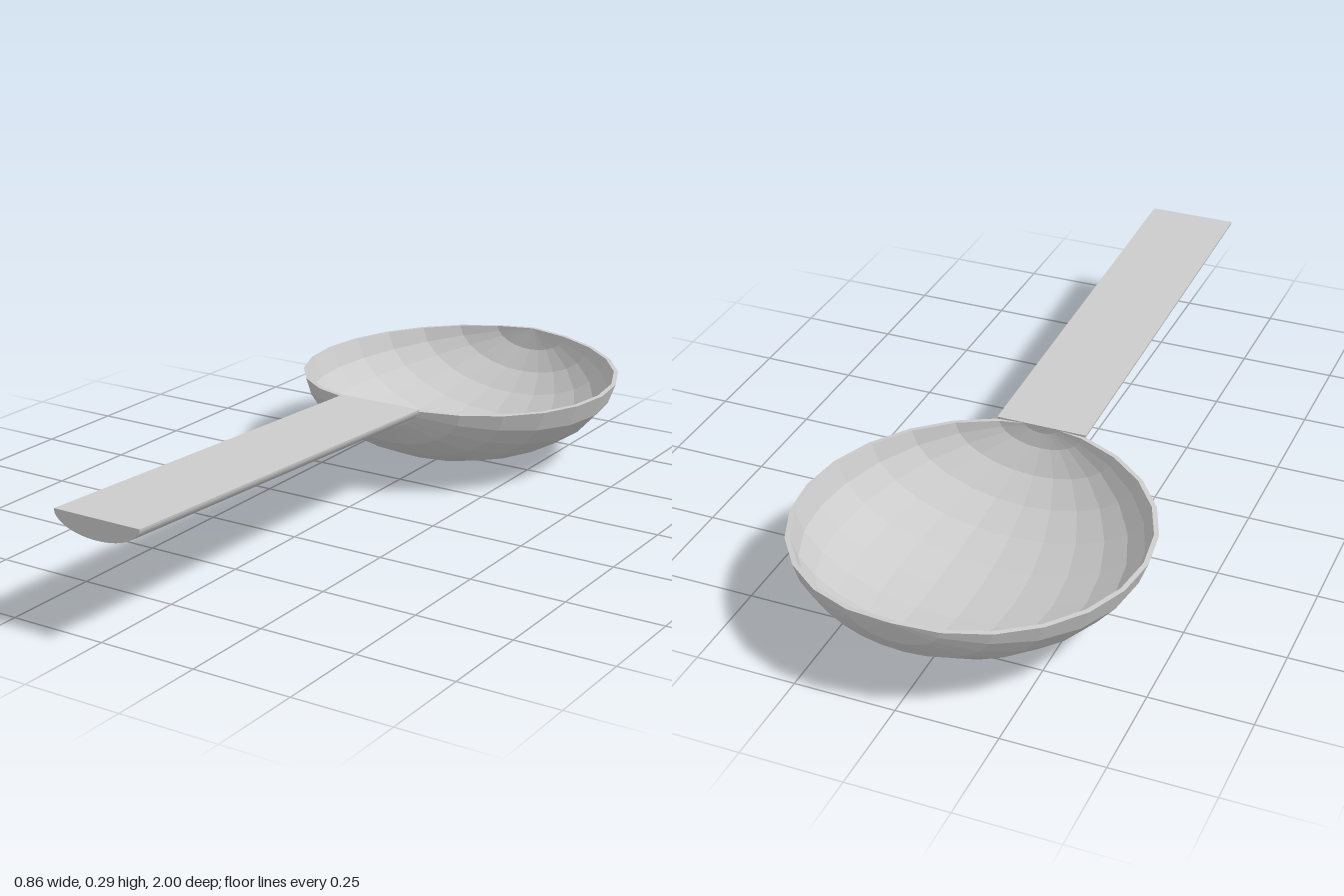
import * as THREE from 'three';

const material = new THREE.MeshStandardMaterial({ color: 0xcccccc, flatShading: true });

// Hollow half ellipsoid with its poles along z: a closed wall section swept from pole to pole.
function bowlGeometry(radius, depth, wall) {
  const arcs = 12, rings = 12, lip = THREE.MathUtils.degToRad(5);
  const section = [];
  for (let j = 0; j <= arcs; j++) section.push([lip + (Math.PI - 2 * lip) * j / arcs, 0]);
  for (let j = arcs; j >= 0; j--) section.push([section[j][0], wall]);

  const positions = [], index = [], n = section.length;
  for (let k = 0; k <= rings; k++) {
    const t = Math.PI * k / rings;
    for (const [a, inset] of section) {
      const r = radius - inset;
      positions.push(
        r * Math.cos(a) * Math.sin(t),
        -(depth - inset) * Math.sin(a) * Math.sin(t),
        r * Math.cos(t));
    }
  }
  for (let k = 0; k < rings; k++) {
    for (let j = 0; j < n; j++) {
      const a = k * n + j, b = k * n + (j + 1) % n;
      index.push(a, b, a + n, b, b + n, a + n);
    }
  }
  const geometry = new THREE.BufferGeometry();
  geometry.setAttribute('position', new THREE.Float32BufferAttribute(positions, 3));
  geometry.setIndex(index);
  geometry.computeVertexNormals();
  return geometry;
}

// Long bar with a flat top and a half-elliptical underside.
function handleGeometry(halfWidth, depth, length) {
  const shape = new THREE.Shape();
  shape.absellipse(0, 0, halfWidth, depth, Math.PI, 2 * Math.PI, false);
  shape.closePath();
  return new THREE.ExtrudeGeometry(shape, { depth: length, bevelEnabled: false, curveSegments: 16 });
}

export function createModel() {
  const spoon = new THREE.Group();
  spoon.name = 'spoon';

  const bowl = new THREE.Mesh(bowlGeometry(0.434, 0.243, 0.012), material);
  bowl.name = 'bowl';
  bowl.position.set(0, 0.243, -0.566);

  // The handle rises slightly towards its free end.
  const handle = new THREE.Mesh(handleGeometry(0.118, 0.05, 1.151), material);
  handle.name = 'handle';
  handle.position.set(0, 0.243, -0.15);
  handle.rotation.x = -0.041;

  spoon.add(bowl, handle);
  return spoon;
}
